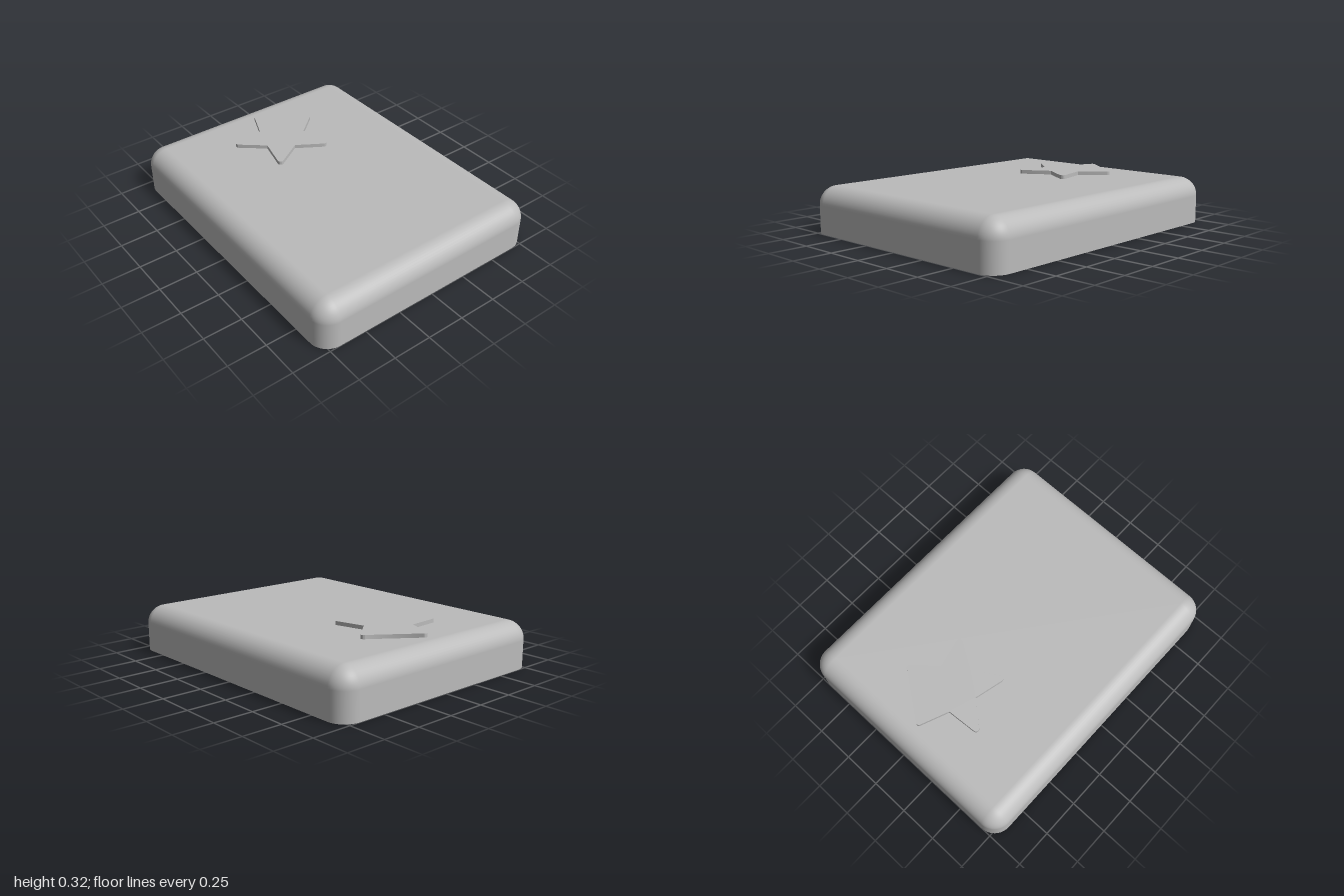
import * as THREE from 'three';
import { toCreasedNormals } from 'three/addons/utils/BufferGeometryUtils.js';

const HALF_X = 0.8, HALF_Z = 1, HEIGHT = 0.3, R = 0.12, SEG = 12;

// Rounded corners in counter-clockwise order: corner centre plus direction
function outline() {
  const pts = [];
  [[1, 1], [-1, 1], [-1, -1], [1, -1]].forEach(([sx, sy], q) => {
    for (let i = 0; i <= SEG; i++) {
      const t = (q + i / SEG) * Math.PI / 2;
      pts.push({ cx: sx * (HALF_X - R), cy: sy * (HALF_Z - R), dx: Math.cos(t), dy: Math.sin(t) });
    }
  });
  return pts;
}

// Upright walls followed by the rolled top edge
function shellGeometry() {
  const loop = outline(), n = loop.length;
  const pos = [], nor = [], idx = [];
  for (let k = -1; k <= SEG; k++) {
    const phi = Math.max(k, 0) / SEG * Math.PI / 2;
    const c = Math.cos(phi), s = Math.sin(phi);
    const y = k < 0 ? 0 : HEIGHT - R + R * s;
    for (const p of loop) {
      pos.push(p.cx + R * c * p.dx, y, -(p.cy + R * c * p.dy));
      nor.push(c * p.dx, s, -c * p.dy);
    }
  }
  for (let k = 0; k <= SEG; k++) {
    for (let j = 0; j < n; j++) {
      const a = k * n + j, b = k * n + (j + 1) % n;
      idx.push(a, b, b + n, a, b + n, a + n);
    }
  }
  const g = new THREE.BufferGeometry();
  g.setAttribute('position', new THREE.Float32BufferAttribute(pos, 3));
  g.setAttribute('normal', new THREE.Float32BufferAttribute(nor, 3));
  g.setIndex(idx);
  return g;
}

// Five-pointed star with rounded tips
function starShape(outer, inner, r) {
  const half = Math.atan2(inner * Math.sin(Math.PI / 5), outer - inner * Math.cos(Math.PI / 5));
  const d = outer - r / Math.sin(half), sweep = Math.PI / 2 - half;
  const shape = new THREE.Shape();
  for (let i = 0; i < 5; i++) {
    const a = Math.PI / 2 + i * Math.PI * 2 / 5, b = a - Math.PI / 5;
    const x = inner * Math.cos(b), y = inner * Math.sin(b);
    if (i === 0) shape.moveTo(x, y); else shape.lineTo(x, y);
    shape.absarc(d * Math.cos(a), d * Math.sin(a), r, a - sweep, a + sweep, false);
  }
  shape.closePath();
  return shape;
}

export function createModel() {
  const group = new THREE.Group();
  const grey = new THREE.MeshStandardMaterial({ color: 0xbbbbbb });
  grey.name = 'grey';
  const add = (name, geometry, x = 0, y = 0, z = 0) => {
    const mesh = new THREE.Mesh(geometry, grey);
    mesh.name = name;
    mesh.position.set(x, y, z);
    group.add(mesh);
  };

  // Body
  add('bodyShell', shellGeometry());
  add('bodyTop', new THREE.PlaneGeometry(2 * (HALF_X - R), 2 * (HALF_Z - R)).rotateX(-Math.PI / 2), 0, HEIGHT, 0);

  // Underside with a shallow round recess and two blind pin holes
  const recesses = [
    { name: 'roundRecess', x: 0, z: 0.34, r: 0.36, depth: 0.025 },
    { name: 'backPinHole', x: 0.45, z: -0.6, r: 0.04, depth: 0.12 },
    { name: 'frontPinHole', x: -0.45, z: 0.6, r: 0.04, depth: 0.12 },
  ];
  const base = new THREE.Shape(outline().map(p => new THREE.Vector2(p.cx + R * p.dx, p.cy + R * p.dy)));
  for (const { name, x, z, r, depth } of recesses) {
    base.holes.push(new THREE.Path().absarc(x, z, r, 0, Math.PI * 2, true));
    const profile = [[0, depth], [r, depth], [r, 0]].map(([px, py]) => new THREE.Vector2(px, py));
    add(name, toCreasedNormals(new THREE.LatheGeometry(profile, 48), 0.6), x, 0, z);
  }
  add('underside', new THREE.ShapeGeometry(base, 32).rotateX(Math.PI / 2));

  // Raised star
  const star = new THREE.ExtrudeGeometry(starShape(0.35, 0.156, 0.02), { depth: 0.026, bevelEnabled: false, curveSegments: 10 });
  add('raisedStar', toCreasedNormals(star.rotateX(-Math.PI / 2), 0.5), 0, HEIGHT - 0.001, -0.522);

  return group;
}
